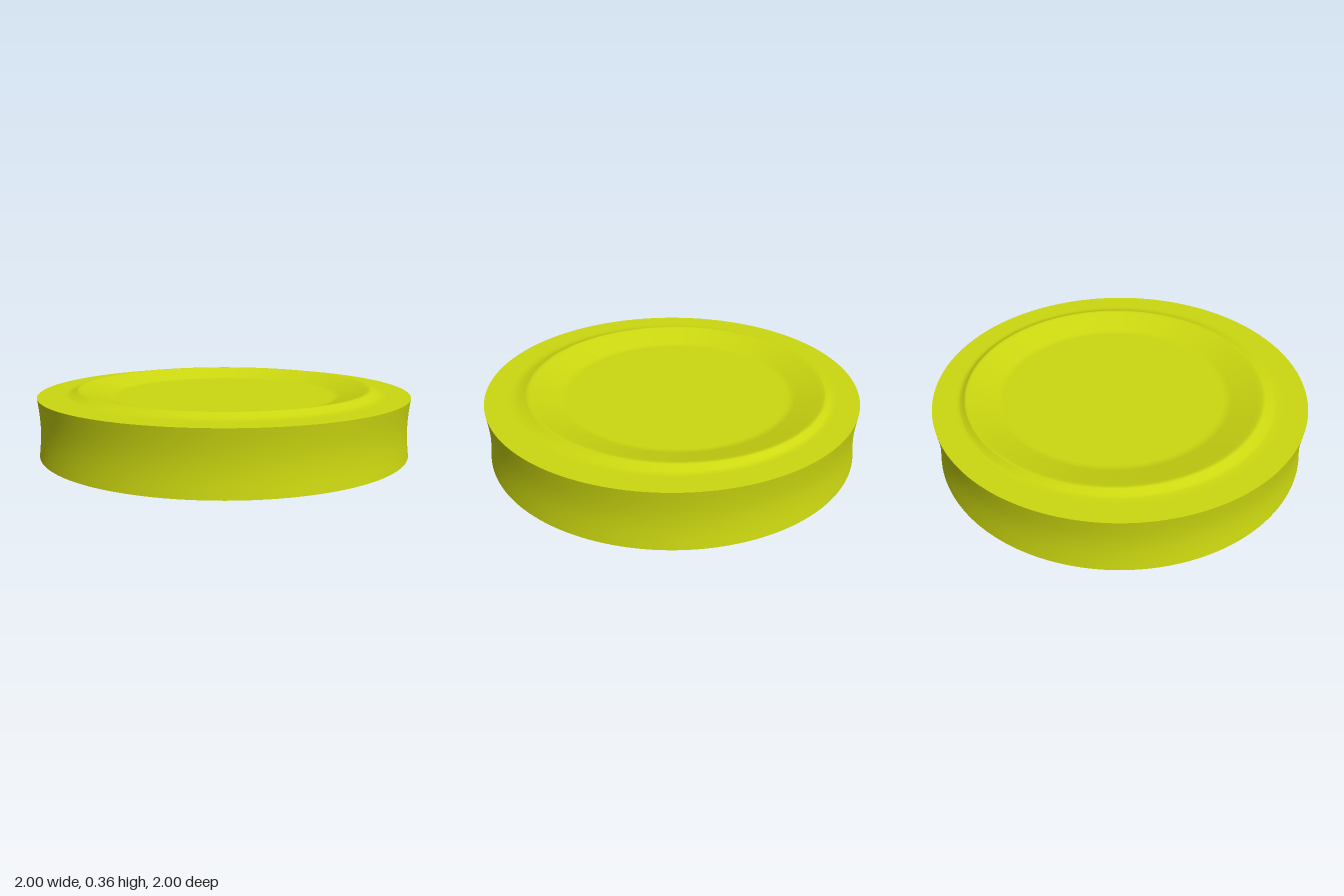
import * as THREE from 'three';

const HEIGHT = 0.362;
const SEGMENTS = 160;

// Smooth skin through circular rings given as [radius, y, centreX, centreZ].
function skin(name, rings, material) {
  const pos = [], index = [];
  rings.forEach(([r, y, cx = 0, cz = 0], j) => {
    for (let i = 0; i < SEGMENTS; i++) {
      const a = (i / SEGMENTS) * Math.PI * 2;
      pos.push(cx + r * Math.cos(a), y, cz + r * Math.sin(a));
      if (j === rings.length - 1) continue;
      const p = j * SEGMENTS + i;
      const q = j * SEGMENTS + ((i + 1) % SEGMENTS);
      index.push(p, p + SEGMENTS, q, q, p + SEGMENTS, q + SEGMENTS);
    }
  });
  const geometry = new THREE.BufferGeometry();
  geometry.setAttribute('position', new THREE.Float32BufferAttribute(pos, 3));
  geometry.setIndex(index);
  geometry.computeVertexNormals();
  const mesh = new THREE.Mesh(geometry, material);
  mesh.name = name;
  return mesh;
}

export function createModel() {
  const group = new THREE.Group();
  group.name = 'disc';
  const material = new THREE.MeshStandardMaterial({ color: 0xccd810 });

  // Flat border, raised lip and shallow dish; lip and dish sit slightly off centre.
  const face = [
    [1, 0.336],
    [0.88, 0.336],
    [0.855, 0.337, 0, -0.01],
    [0.835, 0.341, -0.008, -0.014],
    [0.805, 0.358, -0.016, -0.022],
    [0.797, 0.362, -0.018, -0.024],
    [0.785, 0.3605, -0.019, -0.024],
    [0.765, 0.355, -0.019, -0.025],
    [0.635, 0.317, -0.02, -0.029],
    [0.615, 0.312, -0.02, -0.03],
    [0.595, 0.311, -0.02, -0.03],
    [0.3, 0.311, -0.02, -0.03],
    [0.001, 0.311, -0.02, -0.03],
  ];
  group.add(skin('topFace', face, material));

  // Underside mirrors the top
  const underside = face.map(([r, y, cx, cz]) => [r, HEIGHT - y, cx, cz]).reverse();
  group.add(skin('bottomFace', underside, material));

  // Side wall with a shallow concave groove
  const wall = [];
  for (let i = 0; i <= 12; i++) {
    const t = i / 12;
    wall.push([1 - 0.012 * Math.sin(Math.PI * t), 0.026 + 0.31 * t]);
  }
  group.add(skin('rim', wall, material));

  return group;
}
